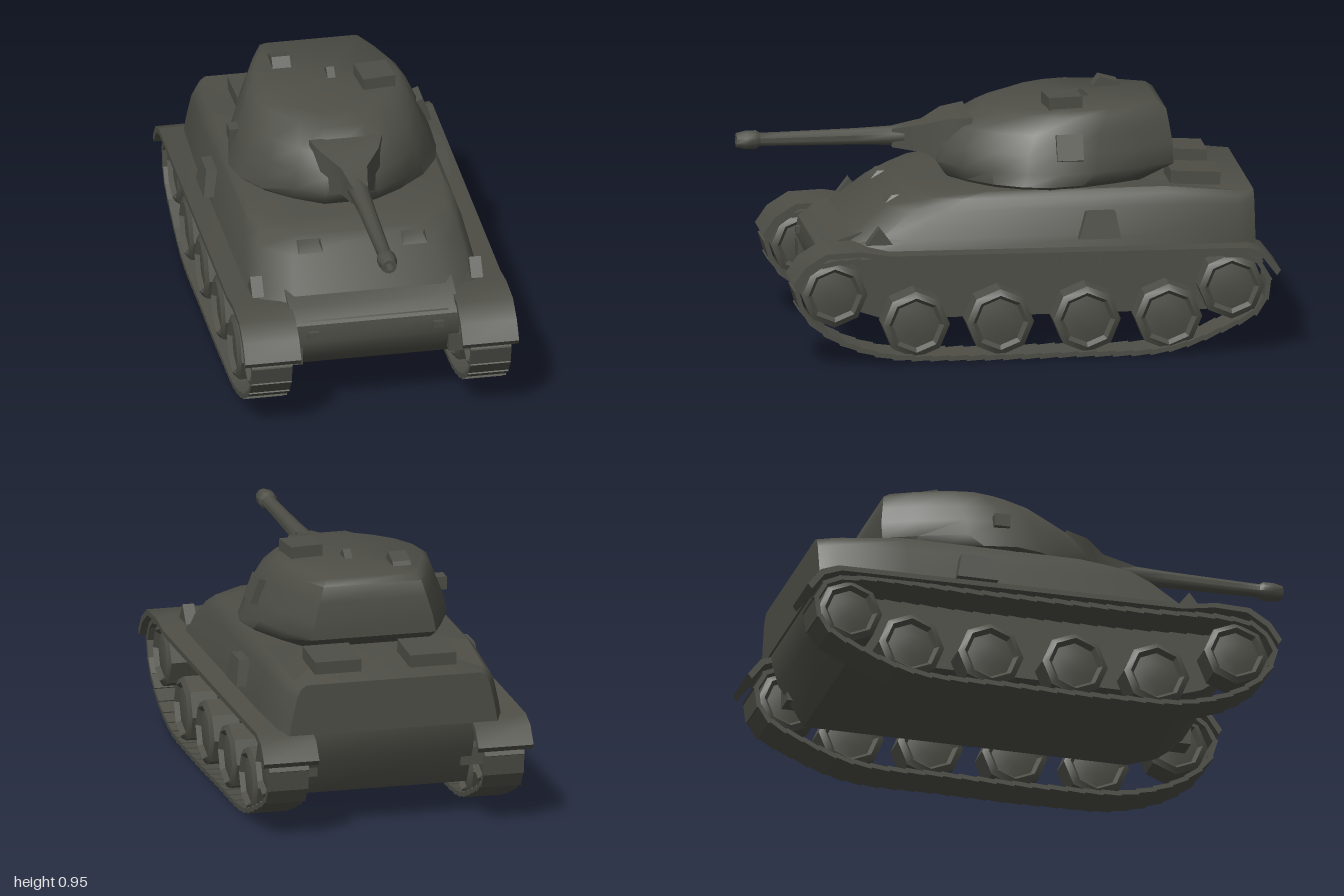
import * as THREE from 'three';
import { toCreasedNormals } from 'three/addons/utils/BufferGeometryUtils.js';

const V = (x, y, z) => new THREE.Vector3(x, y, z);

// Skins closed rings (listed bottom to top); each ring is a half outline, front to rear, mirrored in x
function loft(halves, crease = 0.7) {
  const rings = halves.map(h => [...h, ...h.slice().reverse().map(p => V(-p.x, p.y, p.z))]);
  const n = rings[0].length, pos = [], idx = [];
  rings.forEach(r => r.forEach(p => pos.push(p.x, p.y, p.z)));
  for (let k = 0; k < rings.length - 1; k++) {
    for (let i = 0; i < n; i++) {
      const a = k * n + i, b = k * n + (i + 1) % n;
      idx.push(a, b, b + n, a, b + n, a + n);
    }
  }
  [0, rings.length - 1].forEach(k => {
    const c = rings[k].reduce((s, p) => s.add(p), V(0, 0, 0)).divideScalar(n);
    const ci = pos.length / 3;
    pos.push(c.x, c.y, c.z);
    for (let i = 0; i < n; i++) {
      const a = k * n + i, b = k * n + (i + 1) % n;
      if (k) idx.push(ci, a, b); else idx.push(ci, b, a);
    }
  });
  const g = new THREE.BufferGeometry();
  g.setAttribute('position', new THREE.Float32BufferAttribute(pos, 3));
  g.setIndex(idx);
  return toCreasedNormals(g, crease);
}

// Extrudes a side profile of [z, y] points across x, centred on x = 0
function sideExtrude(points, width) {
  const shape = new THREE.Shape(points.map(p => new THREE.Vector2(p[0], p[1])));
  const g = new THREE.ExtrudeGeometry(shape, { depth: width, bevelEnabled: false });
  g.translate(0, 0, -width / 2).rotateY(-Math.PI / 2);
  return toCreasedNormals(g, 0.7);
}

export function createModel() {
  const model = new THREE.Group();
  const olive = new THREE.MeshStandardMaterial({ color: 0x4e4e47 });
  olive.name = 'dark olive';

  function add(name, geo, x = 0, y = 0, z = 0, parent = model) {
    const m = new THREE.Mesh(geo, olive);
    m.name = name;
    m.position.set(x, y, z);
    parent.add(m);
    return m;
  }
  const box = (w, h, d) => new THREE.BoxGeometry(w, h, d);

  // Lower hull with rounded nose
  add('lowerHull', sideExtrude([
    [0.48, 0.14], [0.6, 0.18], [0.69, 0.25], [0.73, 0.33], [0.72, 0.4], [0.66, 0.45],
    [0.5, 0.5], [-0.9, 0.5], [-0.92, 0.44], [-0.88, 0.3], [-0.78, 0.14]], 0.64));

  // Upper hull: sloped sides, rounded glacis, deck falling to the rear
  const hullRing = (y, front, halfW, frontW, rearY = y) => [
    V(frontW, y, front), V(halfW - 0.03, y, front - 0.09), V(halfW, y, front - 0.2),
    V(halfW, y, -0.58), V(halfW - 0.01, rearY, -0.86), V(halfW - 0.04, rearY, -0.92)];
  add('upperHull', loft([
    hullRing(0.41, 0.71, 0.445, 0.28),
    hullRing(0.47, 0.6, 0.435, 0.29),
    hullRing(0.57, 0.47, 0.415, 0.27, 0.56),
    hullRing(0.615, 0.39, 0.4, 0.25, 0.59),
    hullRing(0.635, 0.3, 0.38, 0.22, 0.605)]));

  // Hatch hoods, lugs, deck hatches and side stowage
  for (const s of [-1, 1]) {
    const hood = add('driverHood', loft([
      [V(0.06, 0, 0.06), V(0.08, 0, 0), V(0.06, 0, -0.1)],
      [V(0.035, 0.05, 0), V(0.05, 0.05, -0.04), V(0.05, 0.05, -0.1)]]), s * 0.2, 0.55, 0.435);
    hood.rotation.x = 0.1;
    add('towLug', box(0.04, 0.025, 0.03), s * 0.24, 0.365, 0.725);
    add('headlampGuard', sideExtrude([[0.05, 0], [0, 0.065], [-0.05, 0]], 0.045), s * 0.42, 0.455, 0.515);
    add('engineHatch', box(0.18, 0.05, 0.19), s * 0.185, 0.638, -0.71).rotation.x = -0.06;
    add('sideStowage', loft([
      [V(0.035, 0, 0.08), V(0.035, 0, -0.08)],
      [V(0.02, 0.1, 0.05), V(0.02, 0.1, -0.06)]]), s * 0.44, 0.46, -0.32);
  }

  // Turret: cast egg shape with an overhanging rear
  const turret = new THREE.Group();
  turret.name = 'turret';
  model.add(turret);
  const plan = [[0.1, 0.24], [0.21, 0.165], [0.31, 0.065], [0.375, -0.055], [0.398, -0.17],
    [0.375, -0.31], [0.31, -0.48], [0.25, -0.6]];
  const turretRing = (y, sx, front, rear) => plan.map(([x, z]) =>
    V(x * sx, y, rear + (z + 0.6) / 0.84 * (front - rear)));
  add('turretShell', loft([
    turretRing(0.6, 0.86, 0.17, -0.45),
    turretRing(0.645, 1, 0.22, -0.53),
    turretRing(0.69, 0.97, 0.25, -0.63),
    turretRing(0.76, 0.915, 0.24, -0.63),
    turretRing(0.83, 0.835, 0.19, -0.62),
    turretRing(0.89, 0.76, 0.08, -0.61),
    turretRing(0.912, 0.69, 0, -0.58)], 0.9), 0, 0, 0, turret);

  // Mantlet block tapering into the gun
  const mantlet = loft([
    [V(0.14, 0, 0.1), V(0.14, 0, -0.095)],
    [V(0.12, 0.09, 0.095), V(0.11, 0.09, -0.085)],
    [V(0.05, 0.17, 0.055), V(0.05, 0.17, -0.055)],
    [V(0.03, 0.29, 0.035), V(0.03, 0.29, -0.035)]], 1.2);
  add('mantlet', mantlet, 0, 0.77, 0.12, turret).rotation.x = Math.PI / 2;

  // Gun barrel with muzzle collar and open bore
  const barrel = new THREE.LatheGeometry([
    [0.045, 0], [0.038, 0.15], [0.032, 0.3], [0.027, 0.58], [0.026, 0.66], [0.036, 0.675],
    [0.036, 0.715], [0.028, 0.75], [0.016, 0.75], [0.014, 0.68], [0, 0.68]]
    .map(p => new THREE.Vector2(...p)), 10);
  add('gunBarrel', toCreasedNormals(barrel, 0.7), 0, 0.775, 0.25, turret).rotation.x = Math.PI / 2;

  // Roof and side fittings
  add('commanderHatch', box(0.125, 0.06, 0.13), 0.175, 0.927, -0.215, turret).rotation.y = 0.1;
  add('loaderHatch', sideExtrude([[0.05, 0], [0.02, 0.04], [-0.05, 0.02], [-0.06, 0]], 0.07),
    -0.15, 0.908, -0.42, turret);
  add('periscope', sideExtrude([[0.04, 0], [0, 0.03], [-0.04, 0]], 0.03), 0.02, 0.91, -0.3, turret);
  add('pistolPort', box(0.04, 0.1, 0.1), 0.35, 0.785, -0.22, turret).rotation.z = 0.35;
  add('sideLug', box(0.05, 0.05, 0.06), -0.365, 0.755, -0.2, turret);

  // Running gear, built once per side
  const fenderLine = [[0.855, 0.33], [0.81, 0.395], [0.73, 0.445], [0.6, 0.45], [0.48, 0.43],
    [-0.88, 0.42], [-0.95, 0.395], [-1, 0.33]];
  const fender = sideExtrude([...fenderLine,
    ...fenderLine.slice().reverse().map(([z, y]) => [z * 0.985, y - 0.02])], 0.215);

  const trackPath = new THREE.CatmullRomCurve3([
    [0.5, 0.04], [0.7, 0.115], [0.805, 0.21], [0.83, 0.3], [0.77, 0.38], [0.66, 0.405], [0.3, 0.395],
    [-0.3, 0.39], [-0.8, 0.39], [-0.91, 0.36], [-0.955, 0.28], [-0.92, 0.18], [-0.78, 0.1],
    [-0.57, 0.03], [-0.2, 0.022], [0.2, 0.022]].map(([z, y]) => V(0, y, z)), true, 'centripetal');
  const shoeCount = 56;
  const shoeGeo = box(0.155, 0.018, trackPath.getLength() / shoeCount * 1.12);

  // Eight-sided, slightly dished wheel with its axle along x
  const wheel = (r, w) => {
    const g = new THREE.LatheGeometry([[0, -w * 0.42], [r * 0.35, -w * 0.42], [r * 0.7, -w * 0.36],
      [r * 0.82, -w / 2], [r, -w * 0.4], [r, w * 0.4], [r * 0.82, w / 2], [r * 0.7, w * 0.36],
      [r * 0.35, w * 0.42], [0, w * 0.42]].map(p => new THREE.Vector2(...p)), 8);
    return toCreasedNormals(g.rotateZ(-Math.PI / 2), 0.6);
  };
  const roadWheel = wheel(0.128, 0.13), endWheel = wheel(0.125, 0.13);

  for (const s of [-1, 1]) {
    const side = new THREE.Group();
    side.name = s > 0 ? 'leftRunningGear' : 'rightRunningGear';
    model.add(side);
    add('fender', fender, s * 0.4175, 0, 0, side);
    [0.38, 0.06, -0.27, -0.58].forEach(z => {
      add('roadWheel', roadWheel, s * 0.42, 0.15, z, side);
      add('suspensionArm', box(0.08, 0.05, 0.14), s * 0.34, 0.2, z, side);
    });
    [['driveSprocket', 0.275, 0.69], ['idlerWheel', 0.26, -0.82]].forEach(([name, y, z]) => {
      add(name, endWheel, s * 0.42, y, z, side);
      add('axle', box(0.12, 0.07, 0.07), s * 0.34, y, z, side);
    });
    for (let i = 0; i < shoeCount; i++) {
      const p = trackPath.getPointAt(i / shoeCount), t = trackPath.getTangentAt(i / shoeCount);
      const shoe = add('trackShoe', shoeGeo, s * 0.42, p.y, p.z, side);
      shoe.rotation.x = Math.atan2(-t.y, t.z) + 0.08;
    }
  }
  return model;
}
